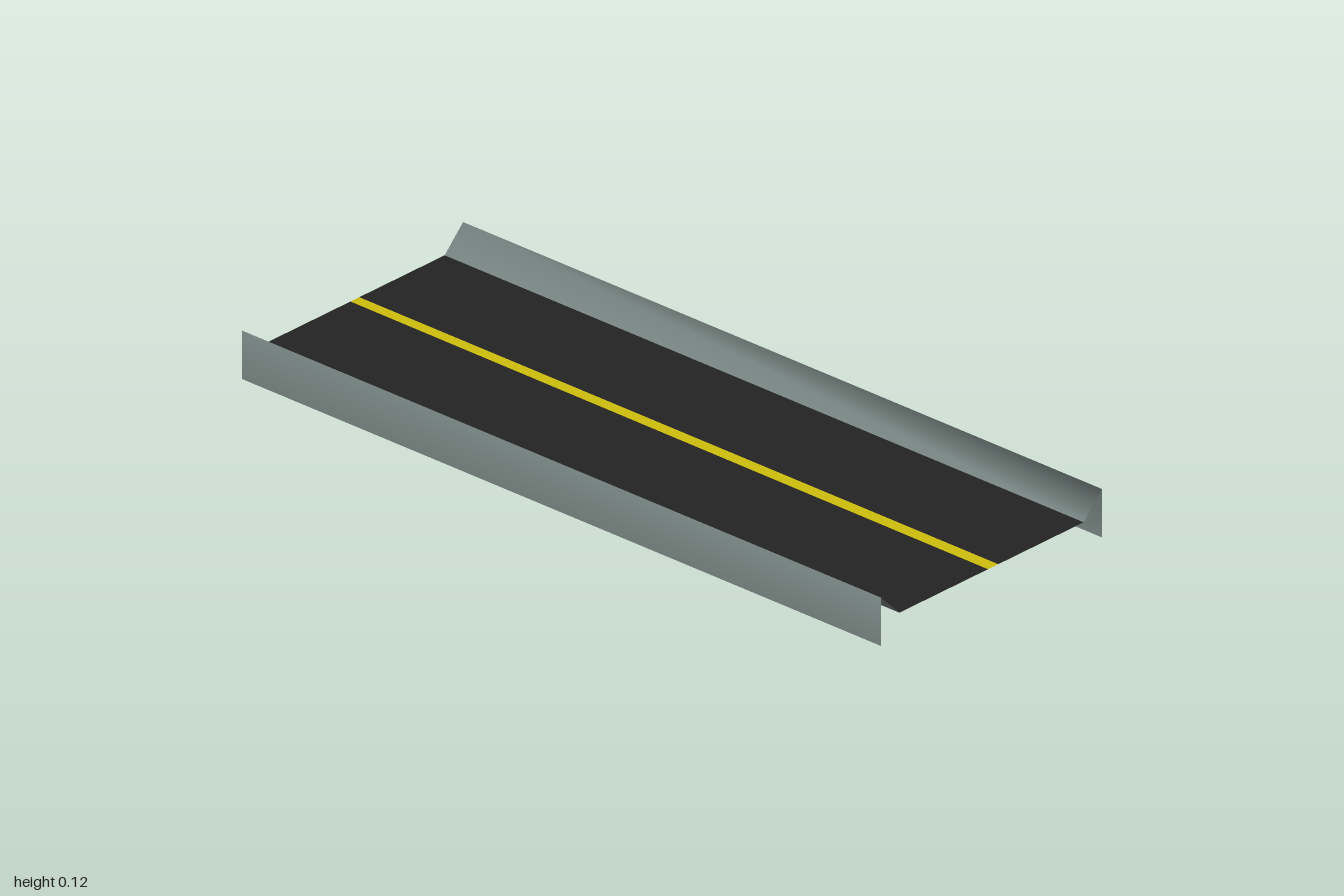
import * as THREE from 'three';

const material = (name, color) =>
  new THREE.MeshStandardMaterial({ name, color, side: THREE.DoubleSide });

// Open sheet swept from back (z = -1) to front (z = 1).
// Each profile point is [x at back, y, x at front], listed from -x to +x.
function sheet(name, profile, mat) {
  const positions = [];
  const index = [];
  profile.forEach(([xBack, y, xFront = xBack], i) => {
    positions.push(xBack, y, -1, xFront, y, 1);
    if (i > 0) {
      const a = 2 * (i - 1);
      index.push(a, a + 1, a + 2, a + 1, a + 3, a + 2);
    }
  });
  const geometry = new THREE.BufferGeometry();
  geometry.setAttribute('position', new THREE.Float32BufferAttribute(positions, 3));
  geometry.setIndex(index);
  geometry.computeVertexNormals();
  const mesh = new THREE.Mesh(geometry, mat);
  mesh.name = name;
  return mesh;
}

export function createModel() {
  const asphalt = material('asphalt', 0x232323);
  const yellow = material('yellow paint', 0xcdbd0c);
  const concrete = material('grey concrete', 0x74817e);

  const model = new THREE.Group();
  model.name = 'roadSection';

  const deckY = 0.0625;
  const edge = 0.3125;
  const outer = 0.375;
  const top = 0.125;
  const stripeLeft = [-0.007, deckY, -0.012];
  const stripeRight = [0.023, deckY];

  // Road surface with the centre line set into it
  model.add(
    sheet('rightLane', [[-edge, deckY], stripeLeft], asphalt),
    sheet('centreLine', [stripeLeft, stripeRight], yellow),
    sheet('leftLane', [stripeRight, [edge, deckY]], asphalt)
  );

  // Side barriers: upright outer wall and sloping inner face, softly shaded
  model.add(
    sheet('rightBarrier', [[-outer, 0], [-outer, top], [-edge, deckY]], concrete),
    sheet('leftBarrier', [[edge, deckY], [outer, top], [outer, 0]], concrete)
  );

  return model;
}
